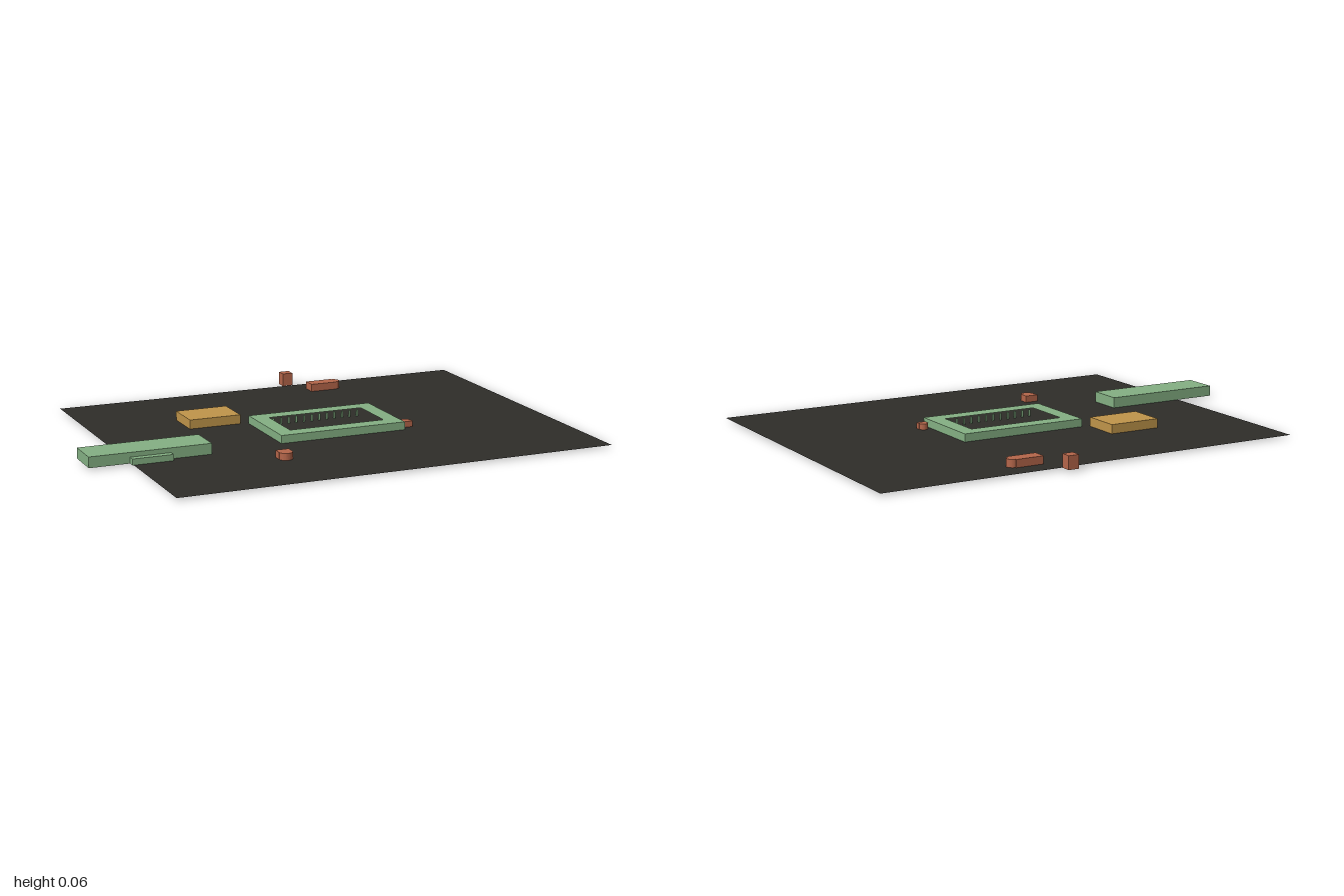
import * as THREE from 'three';

const GROUND = 0.008;
const mat = (color) => new THREE.MeshStandardMaterial({ color, flatShading: true });

export function createModel() {
  const model = new THREE.Group();
  const green = mat(0x84b083), ochre = mat(0xc0954a), clay = mat(0xb5664a);
  const dark = mat(0x2e2d29);
  dark.side = THREE.DoubleSide;

  const add = (name, geometry, material, parent = model) => {
    const mesh = new THREE.Mesh(geometry, material);
    mesh.name = name;
    parent.add(mesh);
    return mesh;
  };
  // Box given by its limits on each axis
  const block = (name, material, x0, x1, y0, y1, z0, z1, parent) =>
    add(name, new THREE.BoxGeometry(x1 - x0, y1 - y0, z1 - z0), material, parent)
      .position.set((x0 + x1) / 2, (y0 + y1) / 2, (z0 + z1) / 2);
  // Extrude a ground-plan shape (drawn with y = -z) upwards
  const raise = (name, shape, material, height) => {
    const g = new THREE.ExtrudeGeometry(shape, { depth: height, bevelEnabled: false, curveSegments: 8 });
    g.rotateX(-Math.PI / 2);
    const mesh = add(name, g, material);
    mesh.position.y = GROUND;
    return mesh;
  };
  const rect = (path, x0, x1, z0, z1) =>
    path.moveTo(x0, -z0).lineTo(x1, -z0).lineTo(x1, -z1).lineTo(x0, -z1).closePath();

  // Paved ground
  const ground = add('ground', new THREE.PlaneGeometry(1.83, 1.44).rotateX(-Math.PI / 2), dark);
  ground.position.set(0.085, GROUND, 0.02);

  // Long hall with its lower porch
  block('longHall', green, -1, -0.5, GROUND, 0.052, 0.087, 0.235);
  block('hallPorch', green, -0.835, -0.668, GROUND, 0.033, 0.22, 0.264);

  // Rows of small footings below the hall
  const footings = new THREE.Group();
  footings.name = 'hallFootings';
  model.add(footings);
  for (const z of [0.135, 0.163, 0.19])
    for (let i = 0; i < 12; i++) {
      const x = -0.845 + i * 0.018;
      block('footing', clay, x - 0.004, x + 0.004, 0, 0.02, z - 0.004, z + 0.004, footings);
    }

  // Courtyard building
  const ring = new THREE.Shape();
  rect(ring, -0.19, 0.355, -0.15, 0.198);
  const court = new THREE.Path();
  rect(court, -0.125, 0.29, -0.086, 0.132);
  ring.holes.push(court);
  raise('courtyardBuilding', ring, green, 0.033);

  // Slim pilasters along the long courtyard walls
  const pilasters = new THREE.Group();
  pilasters.name = 'courtyardPilasters';
  model.add(pilasters);
  for (const z of [-0.086, 0.132])
    for (let i = 0; i < 12; i++) {
      const x = -0.107 + i * 0.0345;
      block('pilaster', green, x - 0.004, x + 0.004, GROUND, 0.036, z - 0.003, z + 0.003, pilasters);
    }

  // Ochre hall and small tower
  block('ochreHall', ochre, -0.444, -0.223, GROUND, 0.046, -0.323, -0.16);
  block('tower', clay, 0.197, 0.243, GROUND, 0.063, -0.747, -0.702);

  // Chapels: a nave with a rounded apse at its +x end, turned into place
  const chapel = (name, x, z, nave, halfWidth, apse, height, turn) => {
    const s = new THREE.Shape();
    s.moveTo(0, -halfWidth).lineTo(nave, -halfWidth).lineTo(nave, -apse);
    s.absarc(nave, 0, apse, -Math.PI / 2, Math.PI / 2, false);
    s.lineTo(nave, halfWidth).lineTo(0, halfWidth).closePath();
    const mesh = raise(name, s, clay, height);
    mesh.position.x = x;
    mesh.position.z = z;
    mesh.rotation.y = turn;
  };
  chapel('largeChapel', 0.273, -0.587, 0.119, 0.03, 0.025, 0.032, 0);
  chapel('frontChapel', -0.262, 0.372, 0.038, 0.028, 0.027, 0.028, -Math.PI / 2);
  chapel('smallChapel', 0.386, 0.165, 0.024, 0.02, 0.018, 0.024, Math.PI / 2);

  return model;
}
